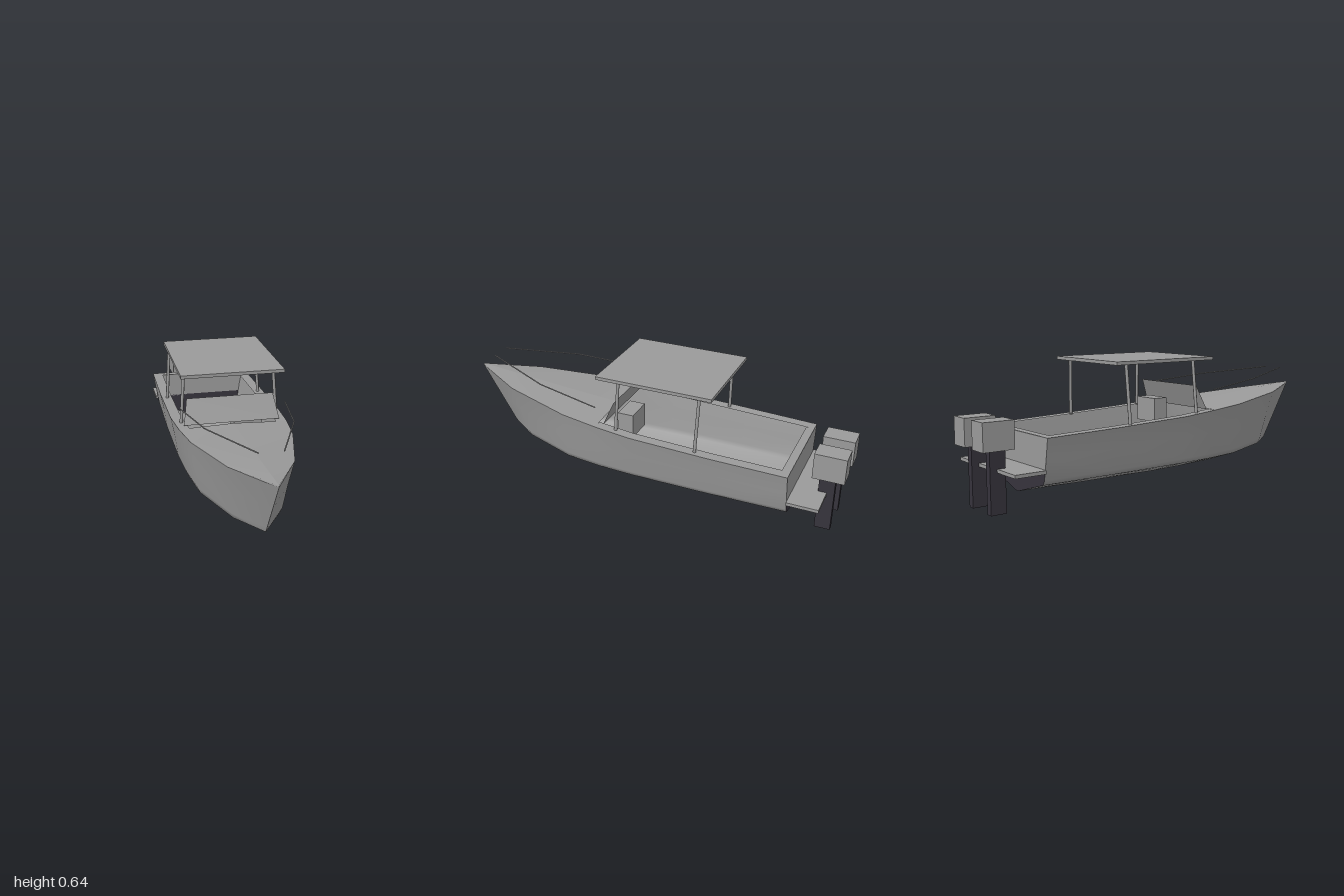
import * as THREE from 'three';

const gray = new THREE.MeshStandardMaterial({ color: 0x9a9a9a });
gray.name = 'hull gray';
const sheet = gray; // shared gray, two-sided for the thin shell parts
sheet.side = THREE.DoubleSide;
const dark = new THREE.MeshStandardMaterial({ color: 0x36333c, side: THREE.DoubleSide });
dark.name = 'engine dark';

// Hull stations: keel z, keel y, sheer z, chine x, chine y, sheer x, sheer y
const stations = [
  [-0.77, 0.063, -0.77, 0.225, 0.13, 0.268, 0.34],
  [-0.4, 0.058, -0.4, 0.232, 0.13, 0.276, 0.35],
  [0, 0.055, 0, 0.231, 0.13, 0.277, 0.365],
  [0.19, 0.058, 0.19, 0.222, 0.13, 0.265, 0.378],
  [0.38, 0.065, 0.38, 0.2, 0.132, 0.24, 0.39],
  [0.66, 0.11, 0.73, 0.105, 0.14, 0.145, 0.42],
  [0.82, 0.147, 1, 0, 0.147, 0, 0.442],
];

// Skin a list of rows of points; flip reverses the facing
function loft(rows, flip) {
  const n = rows[0].length;
  const index = [];
  for (let i = 0; i < rows.length - 1; i++) {
    for (let j = 0; j < n - 1; j++) {
      const a = i * n + j, b = a + 1, c = a + n, d = c + 1;
      if (flip) index.push(a, b, c, b, d, c);
      else index.push(a, c, b, b, c, d);
    }
  }
  const g = new THREE.BufferGeometry();
  g.setAttribute('position', new THREE.Float32BufferAttribute(rows.flat(2), 3));
  g.setIndex(index);
  g.computeVertexNormals();
  return g;
}

function outline(points) {
  return new THREE.ShapeGeometry(new THREE.Shape(points.map(([x, y]) => new THREE.Vector2(x, y))));
}

export function createModel() {
  const boat = new THREE.Group();
  boat.name = 'motorBoat';

  const add = (name, geometry, material = gray) => {
    const m = new THREE.Mesh(geometry, material);
    m.name = name;
    boat.add(m);
    return m;
  };
  const box = (name, size, pos, material) =>
    add(name, new THREE.BoxGeometry(...size), material).position.set(...pos);
  const rod = (name, a, b, r) => {
    const path = new THREE.LineCurve3(new THREE.Vector3(...a), new THREE.Vector3(...b));
    add(name, new THREE.TubeGeometry(path, 1, r, 8));
  };

  for (const s of [1, -1]) {
    const side = s > 0 ? 'left' : 'right';

    // Half hull: keel, bottom, rounded chine, topside
    add(side + 'Hull', loft(stations.map(([kz, ky, sz, cx, cy, sx, sy]) => {
      const at = (x, y, t) => [s * x, y, THREE.MathUtils.lerp(kz, sz, t)];
      const up = (t) => at(THREE.MathUtils.lerp(cx, sx, t), THREE.MathUtils.lerp(cy, sy, t), t);
      return [at(0, ky, 0), at(cx * 0.5, (ky + cy) / 2, 0), up(0),
        at(cx + (sx - cx) * 0.25, cy + (sy - cy) * 0.1, 0.1), up(0.55), up(1)];
    }), s > 0));

    // Half foredeck, slightly crowned
    add(side + 'Foredeck', loft(stations.slice(3).map(([, , z, , , x, y]) =>
      [[0, y + 0.01, z], [s * x, y, z]]), s < 0));

    // Flat gunwale beside the cockpit
    add(side + 'Gunwale', loft(stations.slice(0, 4).map(([, , z, , , x, y]) =>
      [[s * (x - 0.053), y, z], [s * x, y, z]]), s < 0));

    // Roof posts
    rod(side + 'FrontPost', [s * 0.238, 0.365, 0.09], [s * 0.22, 0.628, 0.08], 0.008);
    rod(side + 'RearPost', [s * 0.248, 0.345, -0.32], [s * 0.23, 0.628, -0.33], 0.008);

    // Bow rail in two straight runs
    const bend = [s * 0.2, 0.51, 0.52];
    rod(side + 'RearBowRail', [s * 0.253, 0.478, 0.19], bend, 0.003);
    rod(side + 'FrontBowRail', bend, [s * 0.053, 0.54, 0.88], 0.003);

    // Outboard engine
    box(side + 'EngineCowl', [0.1, 0.128, 0.15], [s * 0.085, 0.347, -0.925]);
    box(side + 'EngineLeg', [0.033, 0.285, 0.075], [s * 0.085, 0.1425, -0.917], dark);
  }

  // Transom: gray upper panel and dark lower panel
  add('upperTransom', outline([[-0.246, 0.2], [0.246, 0.2], [0.268, 0.34], [-0.268, 0.34]]))
    .position.z = -0.77;
  add('lowerTransom', outline([[0, 0.063], [0.225, 0.13], [0.236, 0.151], [0.246, 0.2],
    [-0.246, 0.2], [-0.236, 0.151], [-0.225, 0.13]]), dark).position.z = -0.77;
  add('sternGunwale', loft([-0.77, -0.73].map((z) =>
    [[-0.216, 0.3405, z], [0.216, 0.3405, z]]), false));

  // Swim platform, helm console and hard top
  box('swimPlatform', [0.51, 0.016, 0.15], [0, 0.192, -0.845]);
  box('helmConsole', [0.14, 0.12, 0.08], [0.09, 0.36, 0.075]);
  box('hardTop', [0.5, 0.016, 0.58], [0, 0.633, -0.105]);

  // Raked windshield
  add('windshield', loft([
    [[-0.235, 0.382, 0.16], [0.235, 0.382, 0.16]],
    [[-0.213, 0.5, 0.11], [0.213, 0.5, 0.11]],
  ], true));

  return boat;
}
